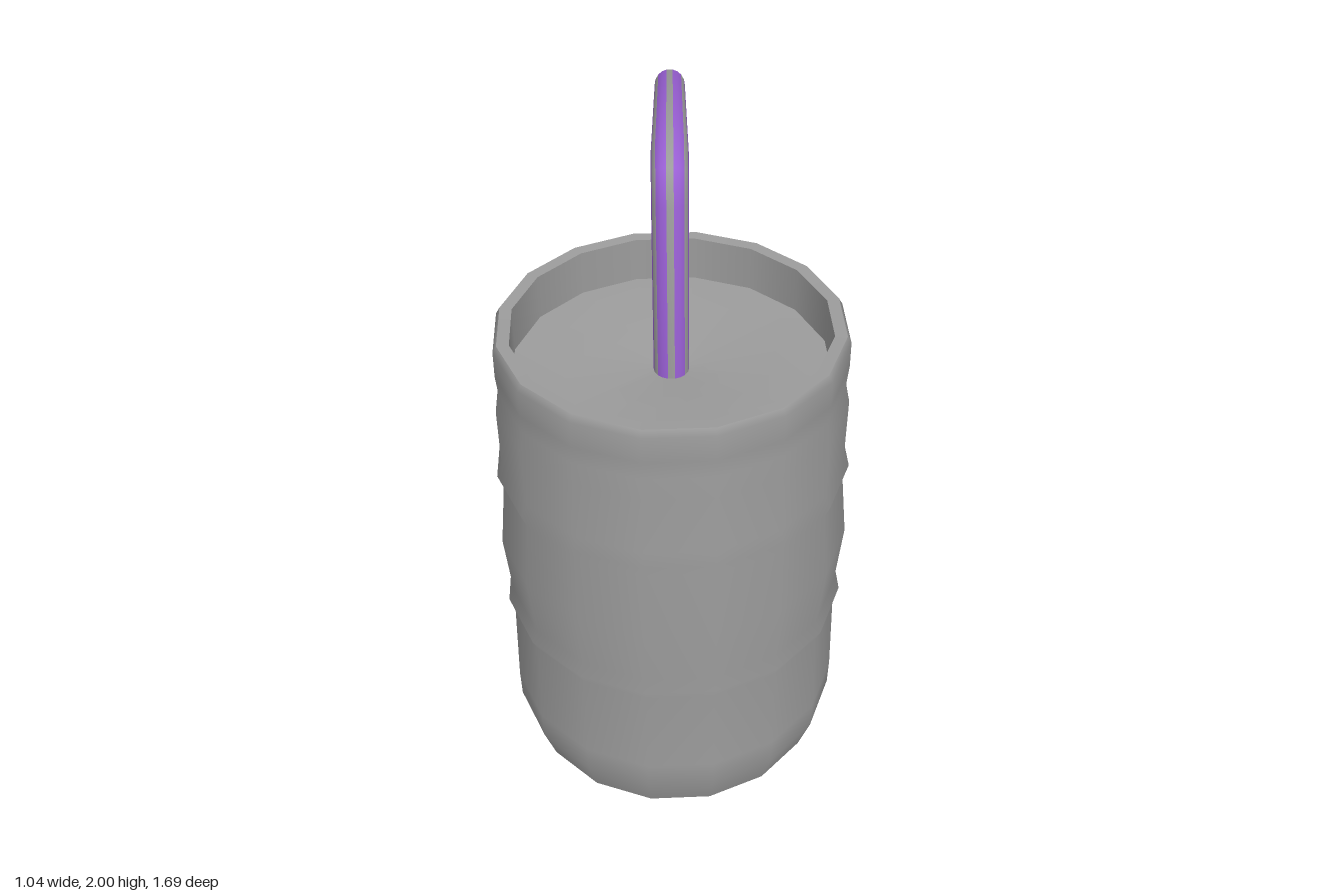
import * as THREE from 'three';

const SIDES = 16;
const CENTRE_Z = 0.32;

const grey = new THREE.MeshStandardMaterial({ color: 0x9c9c9c, side: THREE.DoubleSide });
const purple = new THREE.MeshStandardMaterial({ color: 0x9a60d6 });

// Surface of revolution from [radius, height] pairs
function lathe(name, profile) {
  const points = profile.map(([r, y]) => new THREE.Vector2(r, y));
  const mesh = new THREE.Mesh(new THREE.LatheGeometry(points, SIDES), grey);
  mesh.name = name;
  return mesh;
}

// Bent straw: a mitred path in a vertical plane, swept with lengthwise stripes
function createStraw() {
  const straw = new THREE.Group();
  straw.name = 'straw';
  const radius = 0.05, pairs = 6, greyHalf = Math.PI / 16;
  const forward = new THREE.Vector3(-0.158, 0, -0.987);
  const up = new THREE.Vector3(0, 1, 0);
  const side = new THREE.Vector3(0.987, 0, -0.158);
  const path = [[0, 1.2], [0, 1.85], [0.03, 1.92], [0.097, 1.95], [1.17, 1.63]]
    .map(([u, v]) => new THREE.Vector2(u, v));

  // Each ring holds its centre and its stretched in-plane normal
  const rings = path.map((p, i) => {
    const a = path[Math.max(i - 1, 0)], b = path[Math.min(i + 1, path.length - 1)];
    const before = (i ? p.clone().sub(a) : b.clone().sub(p)).normalize();
    const after = (i < path.length - 1 ? b.clone().sub(p) : p.clone().sub(a)).normalize();
    const t = before.clone().add(after).normalize();
    return {
      centre: forward.clone().multiplyScalar(p.x).addScaledVector(up, p.y),
      normal: forward.clone().multiplyScalar(-t.y).addScaledVector(up, t.x),
      stretch: 1 / t.dot(before),
    };
  });
  const radial = (ring, angle, stretch) => ring.normal.clone()
    .multiplyScalar(Math.cos(angle) * stretch).addScaledVector(side, Math.sin(angle));
  const point = (ring, angle) => ring.centre.clone()
    .addScaledVector(radial(ring, angle, ring.stretch), radius);

  // Narrow grey and wide purple stripes, each given by its start and end angle
  const step = Math.PI * 2 / pairs;
  const kinds = [
    ['greyStripes', grey, [-greyHalf, greyHalf]],
    ['purpleStripes', purple, [greyHalf, step / 2, step - greyHalf]],
  ];
  for (const [name, material, angles] of kinds) {
    const positions = [], normals = [], index = [];
    const n = angles.length;
    for (let k = 0; k < pairs; k++) {
      const base = positions.length / 3;
      rings.forEach((ring, i) => angles.forEach((offset, j) => {
        const angle = k * step + offset;
        positions.push(...point(ring, angle).toArray());
        normals.push(...radial(ring, angle, 1).toArray());
        if (i < rings.length - 1 && j < n - 1) {
          const q = base + i * n + j;
          index.push(q, q + 1, q + n + 1, q, q + n + 1, q + n);
        }
      }));
    }
    const geometry = new THREE.BufferGeometry();
    geometry.setAttribute('position', new THREE.Float32BufferAttribute(positions, 3));
    geometry.setAttribute('normal', new THREE.Float32BufferAttribute(normals, 3));
    geometry.setIndex(index);
    const mesh = new THREE.Mesh(geometry, material);
    mesh.name = name;
    straw.add(mesh);
  }

  // Closed tip
  const tip = rings[rings.length - 1], cap = [];
  const edge = [];
  for (let k = 0; k < pairs; k++) {
    edge.push(k * step - greyHalf, k * step + greyHalf, (k + 0.5) * step);
  }
  edge.forEach((angle, k) => {
    cap.push(...tip.centre.toArray(), ...point(tip, angle).toArray(),
      ...point(tip, edge[(k + 1) % edge.length]).toArray());
  });
  const capGeometry = new THREE.BufferGeometry();
  capGeometry.setAttribute('position', new THREE.Float32BufferAttribute(cap, 3));
  capGeometry.computeVertexNormals();
  const capMesh = new THREE.Mesh(capGeometry, purple);
  capMesh.name = 'strawTip';
  straw.add(capMesh);
  return straw;
}

export function createModel() {
  const model = new THREE.Group();
  model.name = 'cupWithStraw';

  const cup = new THREE.Group();
  cup.name = 'cup';
  cup.add(
    // Ribbed outer wall with a bulging waist, open at the bottom
    lathe('outerWall', [
      [0.465, 0], [0.503, 0.11], [0.506, 0.2], [0.501, 0.495], [0.517, 0.53],
      [0.501, 0.57], [0.521, 0.77], [0.502, 0.98], [0.518, 1.02], [0.502, 1.06],
      [0.505, 1.25], [0.493, 1.31], [0.499, 1.37], [0.499, 1.45], [0.488, 1.47],
    ]),
    lathe('rim', [[0.488, 1.47], [0.453, 1.468]]),
    lathe('innerWall', [[0.453, 1.468], [0.453, 1.33]]),
    // Lid with a hole for the straw, its lip curling under
    lathe('lid', [[0.453, 1.33], [0.05, 1.315], [0.1, 1.28]]),
  );
  cup.position.z = CENTRE_Z;
  model.add(cup);

  const straw = createStraw();
  straw.position.z = CENTRE_Z + 0.005;
  model.add(straw);
  return model;
}
